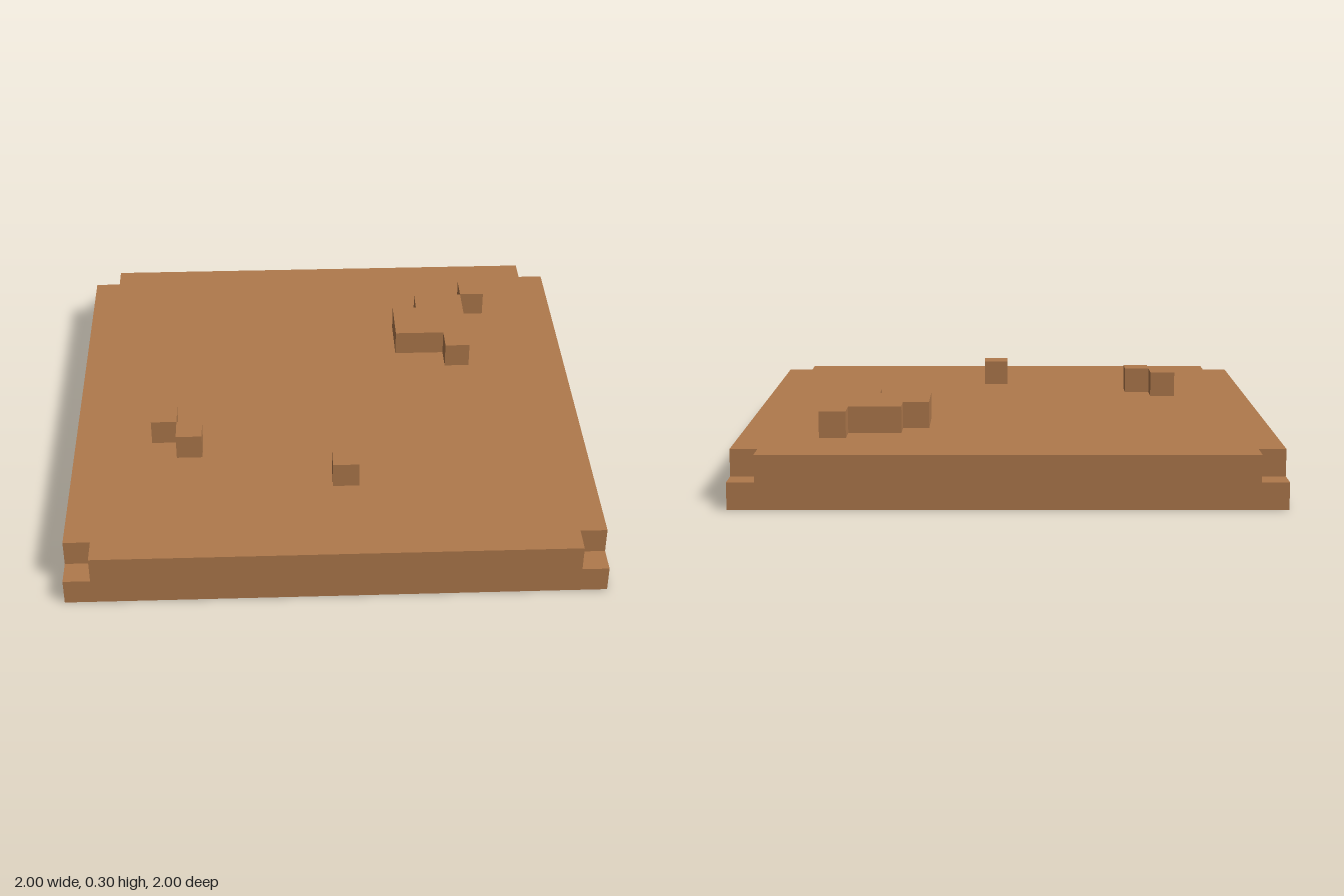
import * as THREE from 'three';

const U = 0.1; // one voxel

export function createModel() {
  const group = new THREE.Group();
  group.name = 'dirtPlatform';
  const dirt = new THREE.MeshStandardMaterial({ color: 0xaf794c });
  dirt.name = 'dirt brown';

  function add(name, geometry, x, y, z) {
    const mesh = new THREE.Mesh(geometry, dirt);
    mesh.name = name;
    mesh.position.set(x, y, z);
    group.add(mesh);
  }

  // One-voxel-high layer from an outline of [x, z] points
  function layer(outline) {
    const shape = new THREE.Shape(outline.map(([x, z]) => new THREE.Vector2(x, -z)));
    return new THREE.ExtrudeGeometry(shape, { depth: U, bevelEnabled: false }).rotateX(-Math.PI / 2);
  }

  // Full square base
  add('baseSlab', new THREE.BoxGeometry(2, U, 2), 0, U / 2, 0);

  // Upper slab with a voxel notched out of each corner
  const a = 1, b = 1 - U;
  add('notchedSlab', layer([
    [-b, -a], [b, -a], [b, -b], [a, -b], [a, b], [b, b],
    [b, a], [-b, a], [-b, b], [-a, b], [-a, -b], [-b, -b],
  ]), 0, U, 0);

  // Raised irregular mound
  add('mound', layer([
    [0.4, -0.6], [0.6, -0.6], [0.6, -0.2], [0.5, -0.2],
    [0.5, -0.3], [0.3, -0.3], [0.3, -0.5], [0.4, -0.5],
  ]), 0, 2 * U, 0);

  // Single loose clods
  const cube = new THREE.BoxGeometry(U, U, U);
  [[0.65, -0.65], [-0.65, 0.25], [-0.55, 0.35], [0.05, 0.55]].forEach(([x, z], i) =>
    add(`clod${i + 1}`, cube, x, 2.5 * U, z));

  return group;
}
